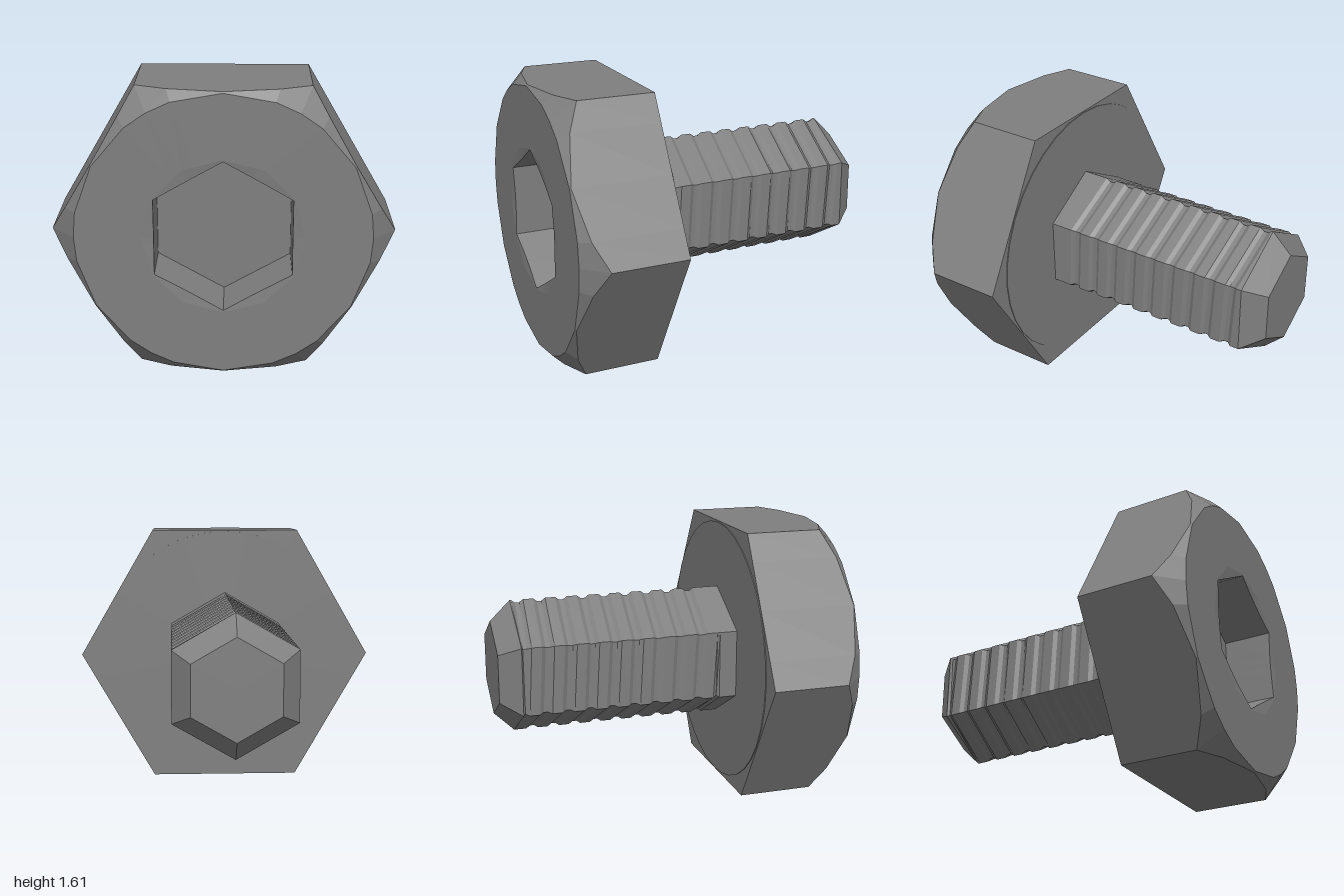
import * as THREE from 'three';

const rad = THREE.MathUtils.degToRad;
const material = new THREE.MeshStandardMaterial({ color: 0x7f7f7f, flatShading: true });

// Joins rings of [radius, degrees, z] points, ordered counter-clockwise and back to front
function loft(name, rings) {
  const pos = [];
  const put = ([r, a, z]) => pos.push(r * Math.cos(rad(a)), r * Math.sin(rad(a)), z);
  for (let i = 0; i < rings.length - 1; i++) {
    for (let j = 0; j < rings[i].length - 1; j++) {
      const a = rings[i][j], b = rings[i][j + 1], c = rings[i + 1][j + 1], d = rings[i + 1][j];
      [a, b, c, a, c, d].forEach(put);
    }
  }
  const geo = new THREE.BufferGeometry();
  geo.setAttribute('position', new THREE.Float32BufferAttribute(pos, 3));
  geo.computeVertexNormals();
  const mesh = new THREE.Mesh(geo, material);
  mesh.name = name;
  return mesh;
}

// Radius of a regular polygon at an angle; "corner" is the direction of one of its corners
function polygonRadius(sides, apothem, angle, corner) {
  const step = 360 / sides;
  const d = ((angle - corner + 360) % step) - step / 2;
  return apothem / Math.cos(rad(d));
}

// Chamfered hexagonal head with a shallow countersink and a hexagonal socket
function createHead() {
  const back = 0.42, front = 1, floor = 0.71, rim = 0.8, sink = 0.44;
  const angles = [];
  for (let k = 0; k < 6; k++) for (const a of [0, 10, 30, 50]) angles.push(k * 60 + a);
  angles.push(360);
  const ring = (radius, z) => angles.map((a) => {
    const r = radius(a);
    return [r, a, z(r)];
  });
  const outer = (a) => polygonRadius(6, 0.807, a, 0);
  const countersink = (a) => polygonRadius(12, sink * Math.cos(rad(15)), a, 0);
  const inner = (a) => polygonRadius(6, 0.372, a, 30);
  return loft('head', [
    ring(() => 0, () => back),
    ring(outer, () => back),
    ring(outer, (r) => front - (r - rim)),
    ring(() => rim, () => front),
    ring(countersink, () => front),
    ring(inner, (r) => front - 0.1 * (sink - r)),
    ring(inner, () => floor),
    ring(() => 0, () => floor),
  ]);
}

// Six-sided shank whose thread groove drops one pitch per turn
function createShank() {
  const R = 0.403, depth = 0.017, pitch = 0.132, zMin = -0.88, zMax = 0.31;
  const columns = [0, 1, 2, 3, 4, 5, 6];
  const ring = (r, z) => columns.map((j) => [r, 90 + j * 60, z]);
  const rings = [ring(0, -1), ring(0.285, -1), ring(R, zMin)];
  for (let k = 9; k >= -1; k--) {
    for (const [dz, cut] of [[-0.036, 0], [-0.013, depth], [0.013, depth], [0.036, 0]]) {
      rings.push(columns.map((j) => {
        const z = 0.22 - pitch * (k + j / 6) + dz;
        const inside = z > zMin && z < zMax;
        return [inside ? R - cut : R, 90 + j * 60, THREE.MathUtils.clamp(z, zMin, zMax)];
      }));
    }
  }
  rings.push(ring(R, zMax), ring(R, 0.42));
  return loft('threadedShank', rings);
}

export function createModel() {
  const bolt = new THREE.Group();
  bolt.name = 'bolt';

  // Thin bearing face under the head
  const washer = new THREE.Mesh(new THREE.CylinderGeometry(0.8, 0.8, 0.01, 36), material);
  washer.name = 'bearingFace';
  washer.rotation.x = Math.PI / 2;
  washer.position.z = 0.42;

  bolt.add(createHead(), washer, createShank());
  bolt.position.y = 0.807;

  const model = new THREE.Group();
  model.add(bolt);
  return model;
}
